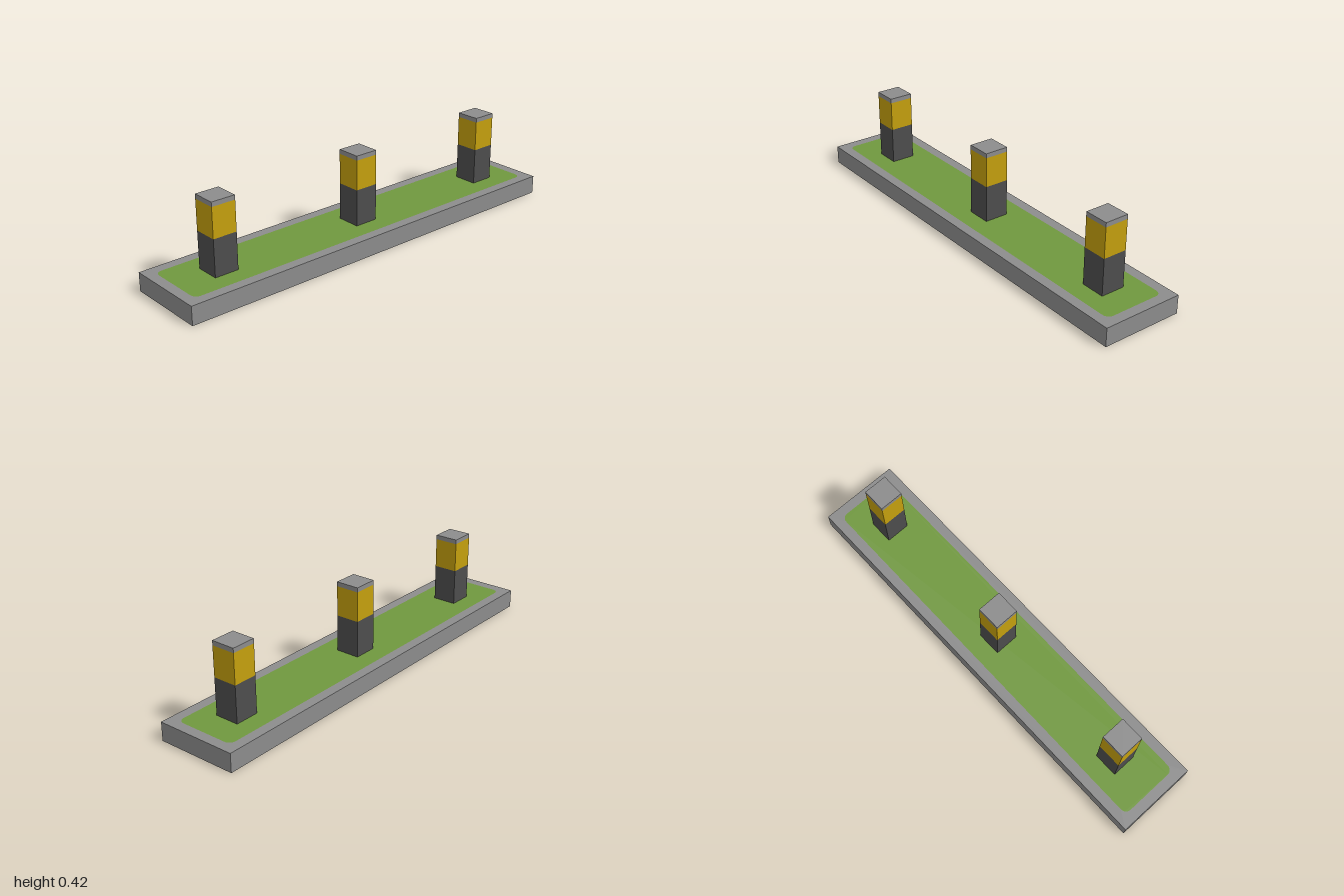
import * as THREE from 'three';

const paint = (name, color) => {
  const m = new THREE.MeshStandardMaterial({ color, side: THREE.DoubleSide });
  m.name = name;
  return m;
};

// Four upright walls without top or bottom
function walls(w, d, y0, y1) {
  const g = new THREE.CylinderGeometry(Math.SQRT1_2, Math.SQRT1_2, y1 - y0, 4, 1, true)
    .rotateY(Math.PI / 4)
    .scale(w, 1, d)
    .translate(0, (y0 + y1) / 2, 0)
    .toNonIndexed();
  g.computeVertexNormals();
  return g;
}

// Rounded rectangle outline
function roundedRect(w, d, r, Type) {
  const x = w / 2, y = d / 2, p = new Type();
  p.absarc(x - r, y - r, r, 0, Math.PI / 2);
  p.absarc(-x + r, y - r, r, Math.PI / 2, Math.PI);
  p.absarc(-x + r, -y + r, r, Math.PI, Math.PI * 1.5);
  p.absarc(x - r, -y + r, r, Math.PI * 1.5, Math.PI * 2);
  p.closePath();
  return p;
}

export function createModel() {
  const grey = paint('concrete grey', 0x8c8c8c);
  const dark = paint('dark grey', 0x4d4d4d);
  const yellow = paint('yellow', 0xc4a00e);
  const green = paint('grass green', 0x70983f);

  const model = new THREE.Group();
  model.name = 'trafficIsland';
  const add = (parent, name, geometry, material) => {
    const mesh = new THREE.Mesh(geometry, material);
    mesh.name = name;
    parent.add(mesh);
  };
  const flat = (shape, y) => new THREE.ShapeGeometry(shape, 6).rotateX(-Math.PI / 2).translate(0, y, 0);

  // Kerb: hollow shell, open underneath, with a rim around the grass
  const W = 0.38, L = 2, H = 0.086;
  add(model, 'kerbSides', walls(W, L, 0, H), grey);
  const rim = new THREE.Shape([[-1, -1], [1, -1], [1, 1], [-1, 1]]
    .map(([x, y]) => new THREE.Vector2(x * W / 2, y * L / 2)));
  rim.holes.push(roundedRect(0.286, 1.906, 0.03, THREE.Path));
  add(model, 'kerbRim', flat(rim, H), grey);
  add(model, 'grass', flat(roundedRect(0.286, 1.906, 0.03, THREE.Shape), H), green);

  // Three hollow posts sunk through the grass
  const S = 0.113;
  for (const z of [0.74, -0.015, -0.77]) {
    const post = new THREE.Group();
    post.name = 'post';
    post.position.z = z;
    add(post, 'postBase', walls(S, S, 0.029, 0.256), dark);
    add(post, 'postBand', walls(S, S, 0.256, 0.395), yellow);
    add(post, 'capSides', walls(S, S, 0.395, 0.416), grey);
    add(post, 'capTop', new THREE.PlaneGeometry(S, S).rotateX(-Math.PI / 2).translate(0, 0.416, 0), grey);
    model.add(post);
  }
  return model;
}
